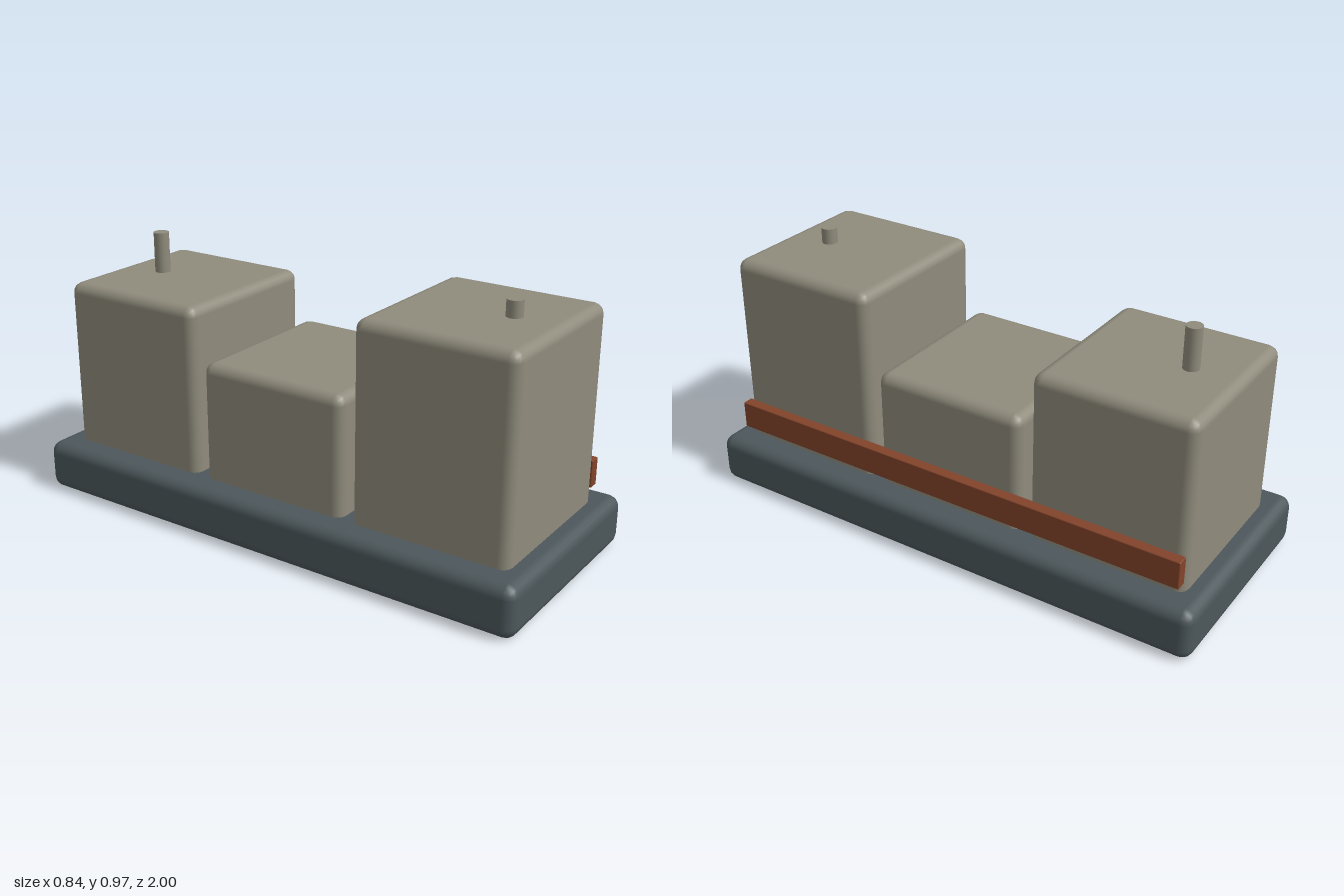
import * as THREE from 'three';
import { RoundedBoxGeometry } from 'three/addons/geometries/RoundedBoxGeometry.js';

const material = (name, color) => {
  const m = new THREE.MeshStandardMaterial({ color });
  m.name = name;
  return m;
};

export function createModel() {
  const group = new THREE.Group();
  const stone = material('warm grey', 0x8f8b7c);
  const slate = material('slate', 0x4d585c);
  const rust = material('rust', 0x82432a);

  const add = (name, geometry, mat, x, y, z) => {
    const mesh = new THREE.Mesh(geometry, mat);
    mesh.name = name;
    mesh.position.set(x, y, z);
    group.add(mesh);
  };

  // Rounded box given by its bottom and top heights
  const block = (name, mat, w, bottom, top, d, r, x, z) =>
    add(name, new RoundedBoxGeometry(w, top - bottom, d, 2, r), mat, x, (bottom + top) / 2, z);

  const baseTop = 0.187;
  block('base', slate, 0.836, 0, baseTop, 2, 0.042, 0, 0);

  // Three blocks, their rounded feet sunk into the base
  const blocks = [
    ['frontBlock', 0.908, 0.63],
    ['middleBlock', 0.627, 0],
    ['rearBlock', 0.814, -0.63],
  ];
  for (const [name, top, z] of blocks) {
    block(name, stone, 0.636, baseTop - 0.05, top, 0.59, 0.038, 0, z);
  }

  // Posts on the outer blocks, ending at the same height
  const postTop = 0.967;
  for (const [name, bottom, z] of [['frontPost', 0.9, 0.745], ['rearPost', 0.805, -0.745]]) {
    const h = postTop - bottom;
    add(name, new THREE.CylinderGeometry(0.029, 0.029, h, 24), stone, 0, bottom + h / 2, z);
  }

  // Long rail along the left side
  block('sideRail', rust, 0.042, 0.229, 0.333, 1.842, 0.004, 0.335, 0);

  return group;
}
